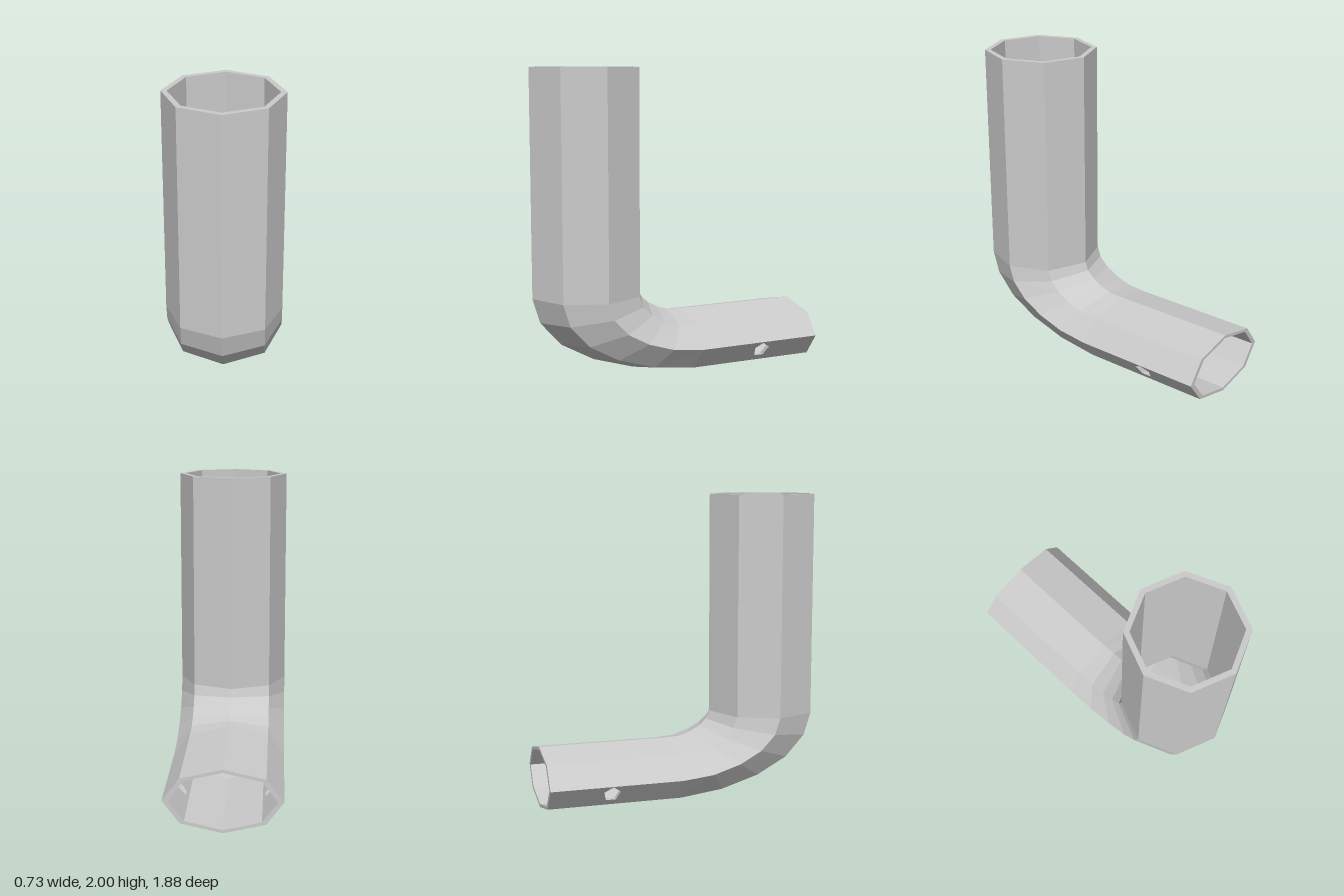
import * as THREE from 'three';

const SIDES = 8, HALF_WIDTH = 0.365, BORE = 0.9;

// Rings along the pipe: [inner bend z, y, outer bend z, y]
const RINGS = [
  [0.21, 2.0, 0.94, 2.0],
  [0.21, 0.565, 0.94, 0.56],
  [0.19, 0.51, 0.89, 0.4],
  [0.14, 0.465, 0.75, 0.245],
  [0.075, 0.43, 0.53, 0.125],
  [0.0, 0.405, 0.25, 0.04],
  [-0.1, 0.4, -0.06, 0.0],
  [-0.94, 0.4, -0.94, 0.0],
];
const LAST = RINGS.length - 1;

// Corner i of ring k; scale 1 is the outer skin, BORE the inner one
function corner(k, i, scale) {
  const [z0, y0, z1, y1] = RINGS[k];
  const a = (i % SIDES) * 2 * Math.PI / SIDES;
  const c = Math.cos(a) * scale / 2;
  return new THREE.Vector3(
    Math.sin(a) * HALF_WIDTH * scale,
    (y0 + y1) / 2 + (y1 - y0) * c,
    (z0 + z1) / 2 + (z1 - z0) * c);
}

function addQuad(out, a, b, c, d, flip = false) {
  out.push(...(flip ? [a, c, b, a, d, c] : [a, b, c, a, c, d]));
}

function makeMesh(name, points) {
  const geometry = new THREE.BufferGeometry().setFromPoints(points);
  geometry.computeVertexNormals();
  const mesh = new THREE.Mesh(geometry,
    new THREE.MeshStandardMaterial({ color: 0xcccccc, flatShading: true }));
  mesh.name = name;
  return mesh;
}

// Outer and inner skins, leaving out the two panels that carry holes
function makePipe() {
  const out = [];
  for (const scale of [1, BORE]) {
    for (let k = 0; k < LAST; k++) {
      for (let i = 0; i < SIDES; i++) {
        if (k === LAST - 1 && (i === 1 || i === 6)) continue;
        addQuad(out, corner(k, i, scale), corner(k + 1, i, scale),
          corner(k + 1, i + 1, scale), corner(k, i + 1, scale), scale !== 1);
      }
    }
  }
  return makeMesh('elbowPipe', out);
}

// Flat rim joining the two skins at an open end
function makeRim(name, k) {
  const out = [];
  for (let i = 0; i < SIDES; i++) {
    addQuad(out, corner(k, i, 1), corner(k, i + 1, 1),
      corner(k, i + 1, BORE), corner(k, i, BORE), k === LAST);
  }
  return makeMesh(name, out);
}

// Sloping side panel with a five-sided hole drilled along x
function makeDrilledPanel(name, side) {
  const out = [];
  const hole = [];
  for (let j = 0; j < 5; j++) {
    const a = Math.PI / 2 + j * 2 * Math.PI / 5;
    hole.push(new THREE.Vector2(-0.54 + 0.056 * Math.cos(a), 0.141 + 0.056 * Math.sin(a)));
  }
  const walls = [1, BORE].map((scale) => {
    const low = corner(LAST, 1, scale), high = corner(LAST, 2, scale);
    const contour = [corner(LAST, 1, scale), corner(LAST - 1, 1, scale),
      corner(LAST - 1, 2, scale), corner(LAST, 2, scale)]
      .map((p) => new THREE.Vector2(p.z, p.y));
    // Lift a (z, y) point onto the sloping panel
    const lift = (p) => new THREE.Vector3(side * THREE.MathUtils.lerp(low.x, high.x,
      (p.y - low.y) / (high.y - low.y)), p.y, p.x);
    const flat = [...contour, ...hole];
    for (const [i, j, k] of THREE.ShapeUtils.triangulateShape(contour, [hole])) {
      const a = lift(flat[i]), b = lift(flat[j]), c = lift(flat[k]);
      const nx = b.clone().sub(a).cross(c.clone().sub(a)).x;
      const wanted = scale === 1 ? side : -side;
      out.push(...(nx * wanted > 0 ? [a, b, c] : [a, c, b]));
    }
    return hole.map(lift);
  });
  // Hole sides through the wall thickness
  for (let j = 0; j < 5; j++) {
    const n = (j + 1) % 5;
    addQuad(out, walls[0][j], walls[0][n], walls[1][n], walls[1][j], side > 0);
  }
  return makeMesh(name, out);
}

export function createModel() {
  const group = new THREE.Group();
  group.name = 'pipeElbow';
  group.add(
    makePipe(),
    makeRim('topRim', 0),
    makeRim('backRim', LAST),
    makeDrilledPanel('leftDrilledPanel', 1),
    makeDrilledPanel('rightDrilledPanel', -1));
  return group;
}
